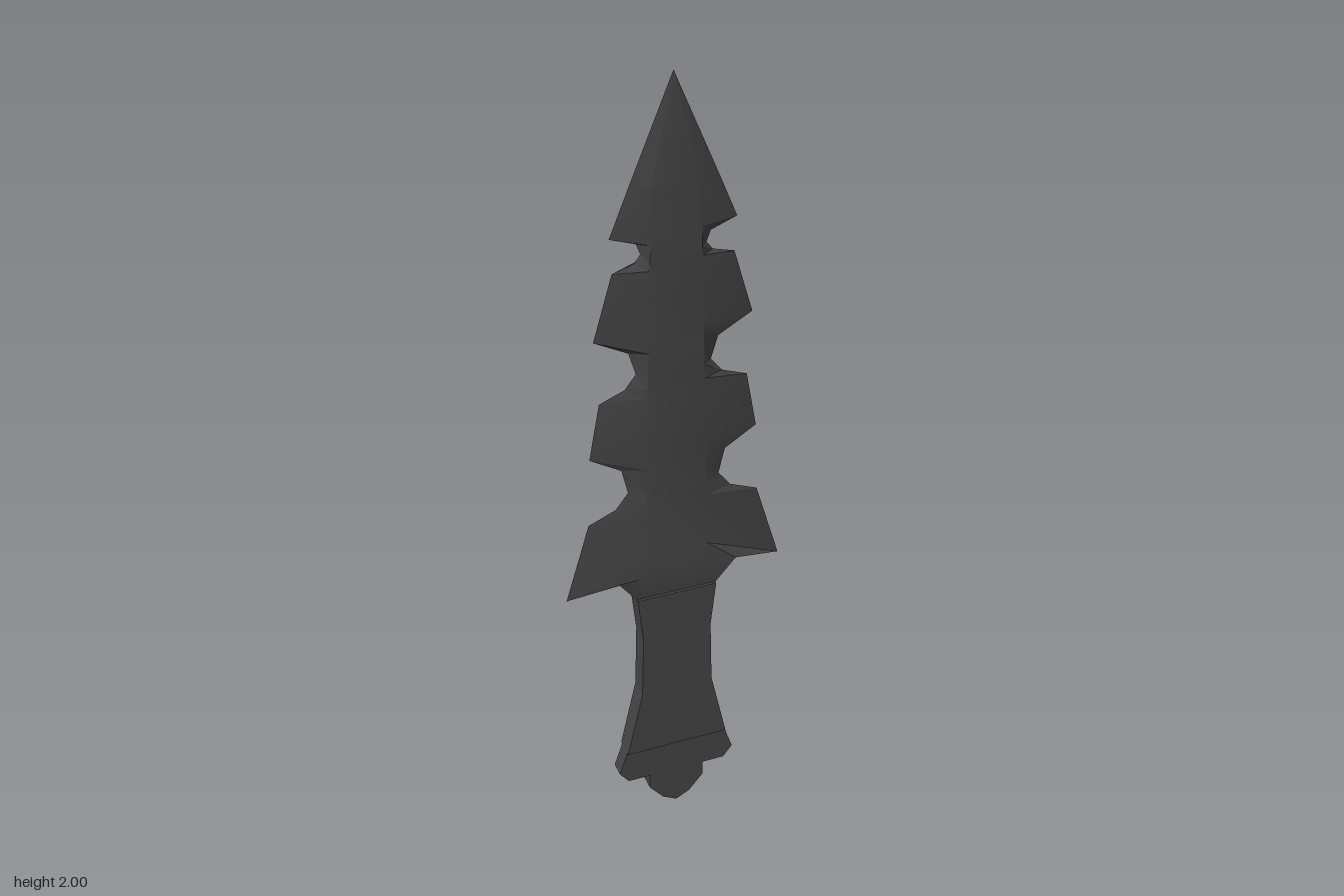
import * as THREE from 'three';
import { toCreasedNormals } from 'three/addons/utils/BufferGeometryUtils.js';

// Blade rows, top to bottom: outer x, outer y, outer half-thickness
const BLADE = [
  [0, 2, 0], [0.1, 1.75, 0], [0.145, 1.635, 0], [0.085, 1.612, 0], [0.075, 1.585, 0],
  [0.09, 1.565, 0], [0.14, 1.55, 0], [0.185, 1.388, 0], [0.105, 1.343, 0], [0.088, 1.285, 0],
  [0.115, 1.25, 0], [0.175, 1.226, 0], [0.2, 1.082, 0], [0.125, 1.035, 0], [0.11, 0.97, 0],
  [0.14, 0.93, 0], [0.206, 0.902, 0], [0.264, 0.7, 0], [0.145, 0.735, 0.028], [0.097, 0.668, 0.019],
];
const HANDLE = [[0.098, 0.67], [0.085, 0.55], [0.089, 0.38], [0.128, 0.198]];
const POMMEL = [[0.127, 0.2], [0.148, 0.135], [0.125, 0.105], [0.07, 0.105], [0.07, 0.065], [0.035, 0.022], [0, 0.003]];

// Eight-sided cross-sections: flat central band, bevelled to a knife edge
function bladeGeometry() {
  const pos = [], index = [];
  BLADE.forEach(([ox, oy, oz], r) => {
    const iy = ox > 0.26 ? 0.79 : oy;
    const taper = Math.min(1, (2 - iy) / 0.25);
    const ix = (0.05 + 0.03 * Math.min(1, (2 - iy) / 1.33)) * taper * (r === 0 ? 0 : 1);
    const iz = oz > 0.02 ? 0.026 : 0.018 * taper;
    const inner = Math.min(ix, ox * 0.8);
    const half = [[-ox, oy, oz], [-inner, iy, iz], [inner, iy, iz], [ox, oy, oz]];
    half.forEach(p => pos.push(...p));
    half.reverse().forEach(([x, y, z]) => pos.push(x, y, -z));
  });
  for (let r = 0; r < BLADE.length - 1; r++) {
    for (let k = 0; k < 8; k++) {
      const a = r * 8 + k, b = r * 8 + (k + 1) % 8;
      index.push(a, a + 8, b + 8);
      if (r > 0) index.push(a, b + 8, b);
    }
  }
  const g = new THREE.BufferGeometry();
  g.setAttribute('position', new THREE.Float32BufferAttribute(pos, 3));
  g.setIndex(index);
  return toCreasedNormals(g, 0.4);
}

// Mirrored half outline extruded to a centred slab
function slab(half, depth) {
  const left = half.filter(p => p[0] > 0).reverse().map(([x, y]) => [-x, y]);
  const shape = new THREE.Shape([...half, ...left].map(p => new THREE.Vector2(...p)));
  return new THREE.ExtrudeGeometry(shape, { depth, bevelEnabled: false }).translate(0, 0, -depth / 2);
}

export function createModel() {
  const group = new THREE.Group();
  const darkStone = new THREE.MeshStandardMaterial({ color: 0x444444 });
  darkStone.name = 'darkGrey';
  const add = (name, geometry) => {
    const mesh = new THREE.Mesh(geometry, darkStone);
    mesh.name = name;
    group.add(mesh);
  };
  add('barbedBlade', bladeGeometry());
  add('handle', slab(HANDLE, 0.05));
  add('pommel', slab(POMMEL, 0.038));
  return group;
}
